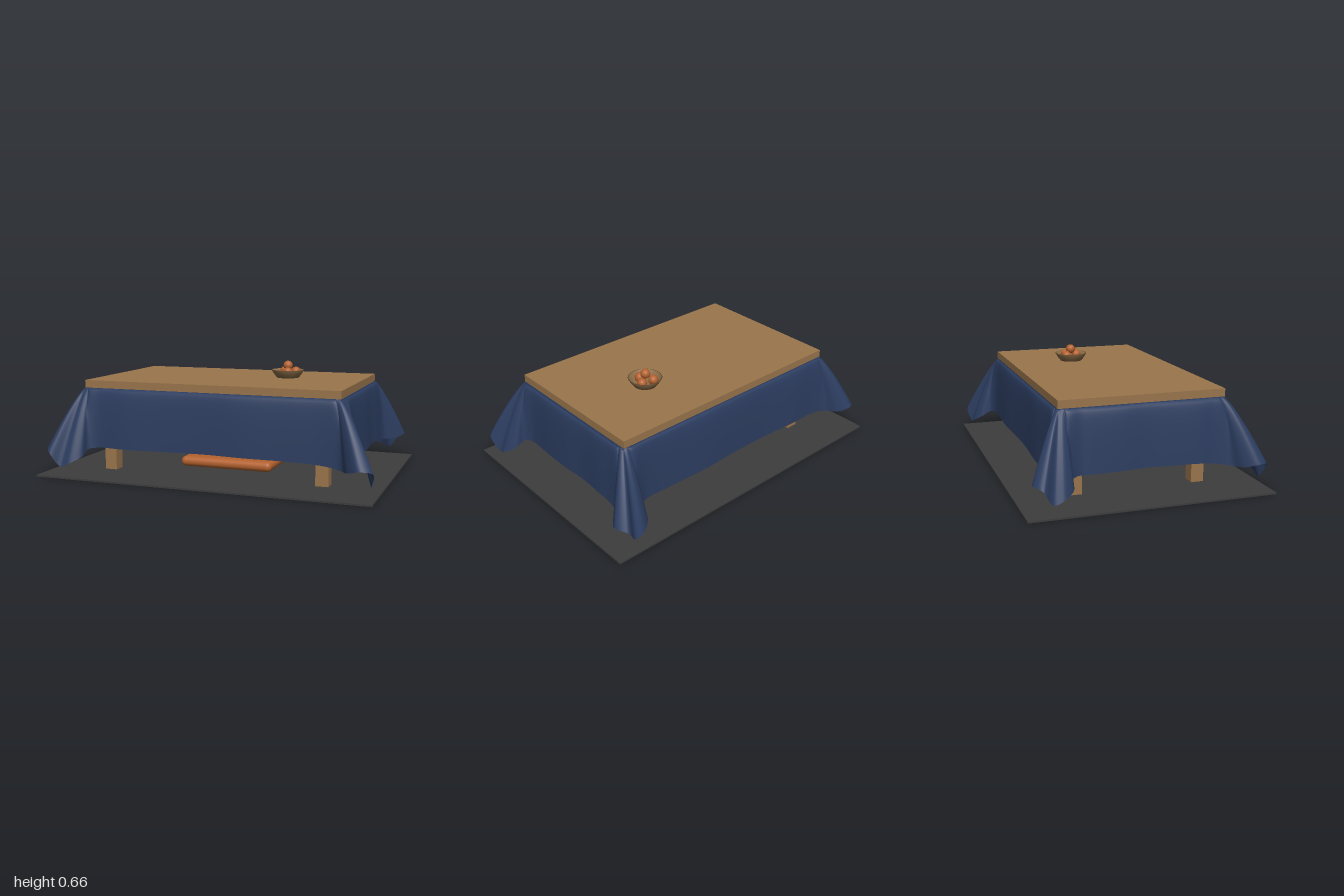
import * as THREE from 'three';
import { RoundedBoxGeometry } from 'three/addons/geometries/RoundedBoxGeometry.js';

const mat = (name, color, side = THREE.FrontSide) => {
  const m = new THREE.MeshStandardMaterial({ color, side });
  m.name = name;
  return m;
};

// Draped cloth: a top outline and a wavy hem, joined by rows of vertices
function drapeGeometry() {
  // Hem of one corner fold: offsets (a, b) from the table corner, and height
  const fold = [
    [0.015, -0.14, 0.165], [0.04, -0.09, 0.155], [0.1, -0.08, 0.12], [0.145, -0.02, 0.085],
    [0.145, 0.04, 0.065], [0.165, 0.1, 0.15], [0.1, 0.14, 0.165], [0.03, 0.1, 0.145],
    [-0.02, 0.035, 0.14], [-0.11, 0.018, 0.155],
  ];
  const turn = [
    (a, b) => [a, b], (a, b) => [-b, a], (a, b) => [-a, -b], (a, b) => [b, -a],
  ];
  const tops = [], hems = [];
  for (let k = 0; k < 4; k++) {
    const [ca, cb] = k % 2 ? [0.51, 0.82] : [0.82, 0.51];
    const add = (list, a, b, y) => {
      const [x, z] = turn[k](a, b);
      list.push(new THREE.Vector3(x, y, z));
    };
    fold.forEach(([a, b, y], i) => {
      add(hems, ca + a, cb + b, y);
      if (i === 0) add(tops, ca - 0.03, cb - 0.14, 0.515);
      else if (i === 9) add(tops, ca - 0.11, cb - 0.03, 0.515);
      else {
        const t = (i - 1) / 7 * Math.PI / 2;
        add(tops, ca - 0.07 + 0.04 * Math.cos(t), cb - 0.07 + 0.04 * Math.sin(t), 0.515);
      }
    });
    // Nearly straight run to the next corner
    [0.6, 0.3, 0, -0.3, -0.6].forEach((s, i) => {
      add(hems, ca * s, cb + 0.018 + 0.006 * Math.sin(i * 2 + k), 0.17 - 0.008 * Math.abs(s));
      add(tops, ca * s, cb - 0.03, 0.515);
    });
  }
  const topCurve = new THREE.CatmullRomCurve3(tops, true);
  const hemCurve = new THREE.CatmullRomCurve3(hems, true);
  const n = tops.length * 6, rows = 18, pos = [], index = [];
  for (let j = 0; j <= rows; j++) {
    const t = (j / rows) ** 1.5;
    for (let i = 0; i < n; i++) {
      const p = topCurve.getPoint(i / n), h = hemCurve.getPoint(i / n);
      const reach = Math.hypot(h.x - p.x, h.z - p.z);
      const f = t ** THREE.MathUtils.lerp(0.35, 0.8, THREE.MathUtils.smoothstep(reach, 0.05, 0.12));
      pos.push(p.x + (h.x - p.x) * f, p.y + (h.y - p.y) * t, p.z + (h.z - p.z) * f);
      if (j < rows) {
        const a = j * n + i, b = j * n + (i + 1) % n;
        index.push(a, b, a + n, b, b + n, a + n);
      }
    }
  }
  const g = new THREE.BufferGeometry();
  g.setAttribute('position', new THREE.Float32BufferAttribute(pos, 3));
  g.setIndex(index);
  g.computeVertexNormals();
  return g;
}

export function createModel() {
  const root = new THREE.Group();
  const wood = mat('wood', 0x9a754c);
  const bowlWood = mat('bowlWood', 0x8c6c48, THREE.DoubleSide);
  const cloth = mat('navyCloth', 0x2c3d60, THREE.DoubleSide);
  const orange = mat('orange', 0xb4622f);
  const dark = mat('darkFloor', 0x3d3d3d);

  const add = (name, geometry, material, x, y, z, parent = root) => {
    const m = new THREE.Mesh(geometry, material);
    m.name = name;
    m.position.set(x, y, z);
    parent.add(m);
    return m;
  };

  // Floor mat, table top and legs
  add('floorMat', new THREE.BoxGeometry(2, 0.01, 1.39), dark, 0, 0.005, 0);
  add('tableTop', new THREE.BoxGeometry(1.56, 0.045, 0.95), wood, 0, 0.5385, 0);
  for (const x of [-0.66, 0.66])
    for (const z of [-0.36, 0.36])
      add('leg', new THREE.BoxGeometry(0.075, 0.5, 0.075), wood, x, 0.26, z);

  // Tablecloth: flat sheet under the top and the hanging drape
  add('clothSheet', new THREE.BoxGeometry(1.57, 0.006, 0.95), cloth, 0, 0.512, 0);
  add('clothDrape', drapeGeometry(), cloth, 0, 0, 0);

  // Cushion below the table
  add('cushion', new RoundedBoxGeometry(0.585, 0.062, 0.375, 6, 0.03), orange, 0, 0.043, 0);

  // Bowl of fruit
  const bowl = new THREE.Group();
  bowl.name = 'fruitBowl';
  bowl.position.set(0.315, 0.561, -0.085);
  root.add(bowl);
  const profile = [[0, 0], [0.068, 0], [0.085, 0.022], [0.1, 0.048], [0.094, 0.048], [0.064, 0.008], [0, 0.008]]
    .map(([r, y]) => new THREE.Vector2(r, y));
  add('bowl', new THREE.LatheGeometry(profile, 40), bowlWood, 0, 0, 0, bowl);
  const fruit = new THREE.SphereGeometry(0.029, 24, 16);
  [[-0.03, 0.036, -0.038], [0.044, 0.036, -0.025], [0.01, 0.036, 0.037], [0, 0.073, -0.003]]
    .forEach(([x, y, z]) => add('fruit', fruit, orange, x, y, z, bowl));

  return root;
}
